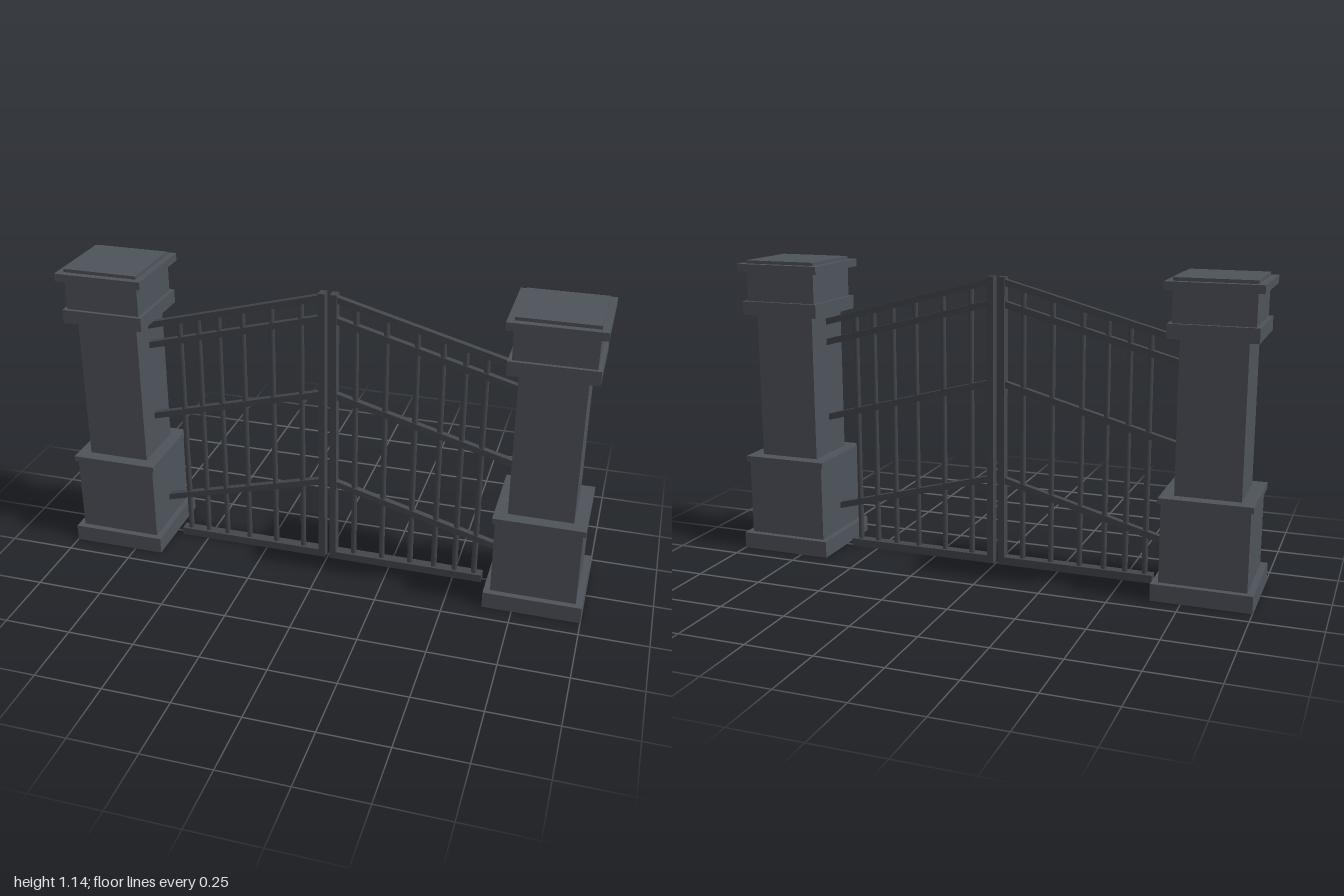
import * as THREE from 'three';

const stone = new THREE.MeshStandardMaterial({ color: 0x4e525a });
stone.name = 'slate grey stone';
const iron = new THREE.MeshStandardMaterial({ color: 0x42454a });
iron.name = 'dark iron';

function add(parent, name, geometry, material, x, y, z = 0) {
  const mesh = new THREE.Mesh(geometry, material);
  mesh.name = name;
  mesh.position.set(x, y, z);
  parent.add(mesh);
  return mesh;
}

// Square stone tiers: name, width, bottom, top
const TIERS = [
  ['base', 0.36, 0, 0.063],
  ['plinth', 0.312, 0.063, 0.353],
  ['plinthLedge', 0.332, 0.353, 0.375],
  ['shaft', 0.235, 0.375, 0.932],
  ['collar', 0.312, 0.932, 0.984],
  ['capBlock', 0.284, 0.984, 1.098],
  ['capSlab', 0.335, 1.098, 1.127],
  ['capTop', 0.284, 1.127, 1.139],
];

function makePillar() {
  const pillar = new THREE.Group();
  for (const [name, w, y0, y1] of TIERS) {
    add(pillar, name, new THREE.BoxGeometry(w, y1 - y0, w), stone, 0, (y0 + y1) / 2);
  }
  return pillar;
}

const SLOPE = 0.27;       // fall of the rails towards the pillar
const INNER = 0.03;       // where the rails meet the closing post
const GATE_Z = 0.005;

// One gate leaf; side is +1 or -1 along x
function makeLeaf(side) {
  const leaf = new THREE.Group();
  leaf.position.z = GATE_Z;
  add(leaf, 'closingPost', new THREE.BoxGeometry(0.025, 1.1, 0.04), iron, side * 0.022, 0.55);
  add(leaf, 'bottomBar', new THREE.BoxGeometry(0.6, 0.03, 0.04), iron, side * 0.31, 0.015);

  // Sloping rails: height at the closing post, outer end
  const rails = [[1.08, 0.71], [1.0, 0.71], [0.702, 0.71], [0.332, 0.67]];
  for (const [y, end] of rails) {
    const run = end - INNER;
    const rail = add(leaf, 'slopingRail',
      new THREE.BoxGeometry(run * Math.hypot(1, SLOPE), 0.024, 0.024), iron,
      side * (INNER + end) / 2, y - SLOPE * run / 2);
    rail.rotation.z = -side * Math.atan(SLOPE);
  }

  // Upright bars, closer together towards the pillar
  for (const x of [0.103, 0.215, 0.328, 0.422, 0.503, 0.578]) {
    const top = 1.08 - SLOPE * (x - INNER);
    add(leaf, 'uprightBar', new THREE.CylinderGeometry(0.011, 0.011, top - 0.02, 8),
      iron, side * x, (top + 0.02) / 2);
  }
  return leaf;
}

export function createModel() {
  const model = new THREE.Group();
  model.name = 'gateway';
  for (const side of [-1, 1]) {
    const label = side > 0 ? 'left' : 'right';
    const pillar = makePillar();
    pillar.name = label + 'Pillar';
    pillar.position.x = side * 0.82;
    const leaf = makeLeaf(side);
    leaf.name = label + 'GateLeaf';
    model.add(pillar, leaf);
  }
  return model;
}
